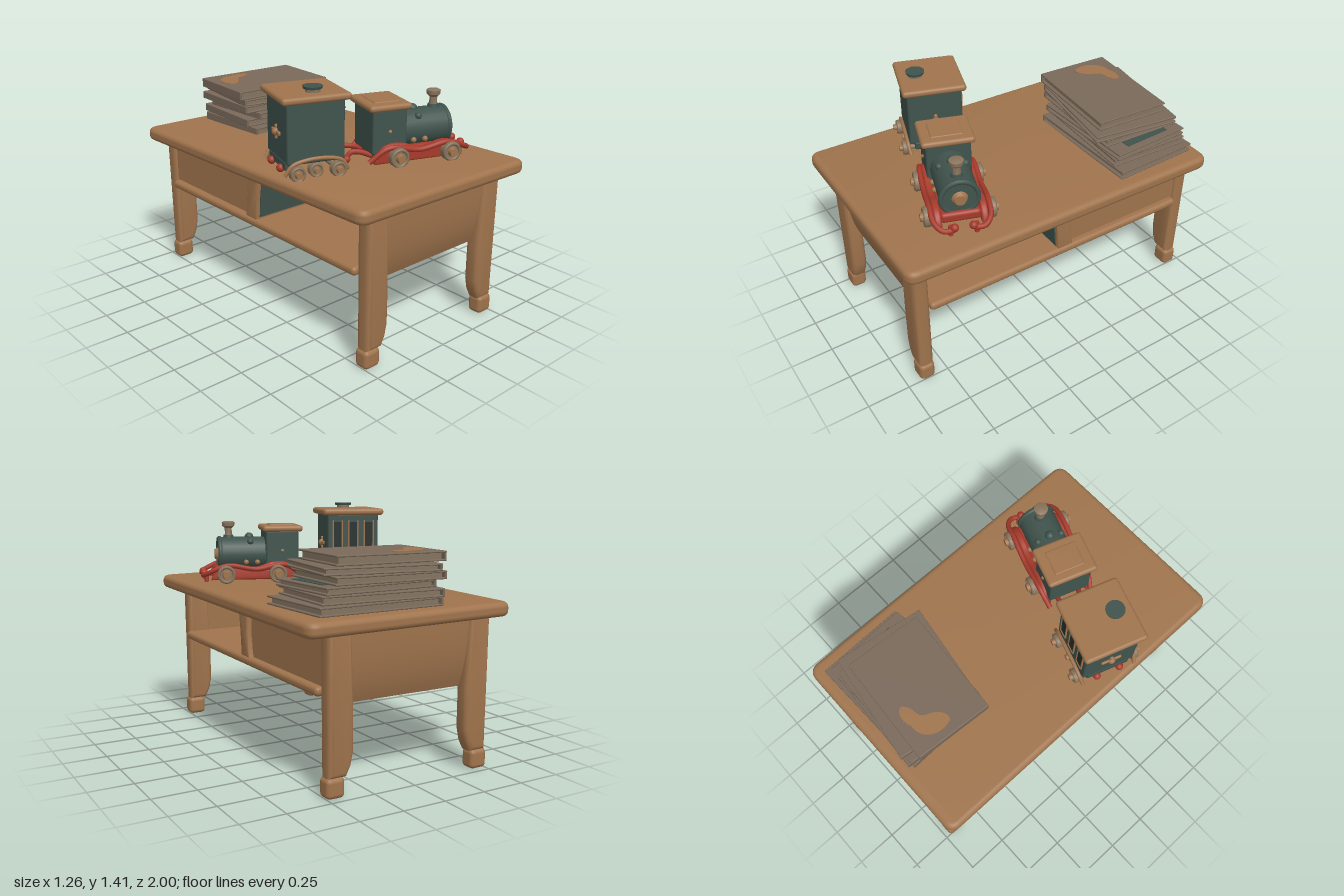
import * as THREE from 'three';
import { toCreasedNormals } from 'three/addons/utils/BufferGeometryUtils.js';
import { RoundedBoxGeometry } from 'three/addons/geometries/RoundedBoxGeometry.js';

const paint = (name, hex) => {
  const m = new THREE.MeshStandardMaterial({ color: hex });
  m.name = name;
  return m;
};
const wood = paint('wood', 0xa0744d);
const teal = paint('darkTeal', 0x40534d);
const red = paint('red', 0xa63a2b);
const wheelTan = paint('wheelTan', 0x88745c);
const cover = paint('bookCover', 0x79695a);
const pages = paint('bookPages', 0x847460);
const dark = paint('darkGlass', 0x27302e);

function add(parent, name, geo, mat, x = 0, y = 0, z = 0) {
  const mesh = new THREE.Mesh(geo, mat);
  mesh.name = name;
  mesh.position.set(x, y, z);
  parent.add(mesh);
  return mesh;
}
function group(parent, name, x = 0, y = 0, z = 0, turn = 0) {
  const g = new THREE.Group();
  g.name = name;
  g.position.set(x, y, z);
  g.rotation.y = turn;
  parent.add(g);
  return g;
}
const soft = (w, h, d, r) => new RoundedBoxGeometry(w, h, d, 3, r);
const cyl = (r1, r2, h) => new THREE.CylinderGeometry(r1, r2, h, 24);
const tube = (pts, r) => new THREE.TubeGeometry(
  new THREE.CatmullRomCurve3(pts.map(p => new THREE.Vector3(...p))), 48, r, 8);
const shapeOf = pts => new THREE.Shape(pts.map(p => new THREE.Vector2(...p)));

// Rounded solid from an outline, centred along its depth
function extrude(shape, depth, bevel) {
  const g = new THREE.ExtrudeGeometry(shape, {
    depth: depth - 2 * bevel, bevelEnabled: bevel > 0, bevelSize: bevel, bevelThickness: bevel,
    bevelOffset: -bevel, bevelSegments: 4, curveSegments: 12,
  });
  g.translate(0, 0, bevel - depth / 2);
  return toCreasedNormals(g, 0.7);
}
// Outline given as (z, y), run along x
const alongX = (pts, width, bevel) => extrude(shapeOf(pts.map(([z, y]) => [-z, y])), width, bevel).rotateY(Math.PI / 2);

function buildTable(root) {
  const table = group(root, 'table');

  // Slightly tilted, worn top
  const s = new THREE.Shape();
  const w = 0.63, l = 1, r = 0.07;
  s.moveTo(-w + r, -l).lineTo(w - r, -l).quadraticCurveTo(w, -l, w, -l + r)
    .lineTo(w, l - r).quadraticCurveTo(w, l, w - r, l)
    .lineTo(-w + r, l).quadraticCurveTo(-w, l, -w, l - r)
    .lineTo(-w, -l + r).quadraticCurveTo(-w, -l, -w + r, -l);
  const topGeo = extrude(s, 0.08, 0.03).rotateX(-Math.PI / 2);
  const p = topGeo.attributes.position;
  for (let i = 0; i < p.count; i++) p.setY(i, p.getY(i) + 0.018 * p.getZ(i) - 0.012 * p.getX(i));
  add(table, 'tableTop', topGeo, wood, 0, 0.885, 0);

  // Legs taper on the inner side and end in block feet
  for (const [z, end] of [[0.875, 'front'], [-0.925, 'back']]) {
    for (const side of [-1, 1]) {
      const pts = [[0.505, 0.86], [0.365, 0.86], [0.35, 0.45], [0.35, 0.23], [0.365, 0.16], [0.392, 0.105], [0.497, 0.105]];
      const leg = pts.map(([x, y]) => [x * side, y]);
      add(table, end + 'Leg', extrude(shapeOf(leg), 0.092, 0.028), wood, 0, 0, z);
      add(table, end + 'Foot', soft(0.107, 0.11, 0.092, 0.026), wood, side * 0.455, 0.055, z);
    }
  }

  // Bowed end panels
  const bow = [];
  for (let i = 0; i <= 10; i++) {
    const t = i / 10;
    bow.push([0.03 - 0.055 * t * t * t, 0.87 - 0.405 * t]);
  }
  const bowed = [...bow, [-0.04, 0.465], [-0.04, 0.87]];
  add(table, 'frontPanel', alongX(bowed, 0.76, 0), wood, 0, 0, 0.875);
  add(table, 'backPanel', alongX(bowed, 0.76, 0), wood, 0, 0, -0.925).rotation.y = Math.PI;

  // Shelf, side panels and divider
  add(table, 'shelf', soft(1.05, 0.05, 1.72, 0.022), wood, 0, 0.54, -0.025).rotation.x = -0.006;
  for (const side of [-1, 1]) add(table, 'sidePanel', new THREE.BoxGeometry(0.03, 0.31, 0.82), wood, side * 0.47, 0.71, -0.49);
  const divider = [[0.035, 0.86], [0.012, 0.7], [0, 0.56], [-0.105, 0.56], [-0.095, 0.6], [-0.08, 0.7], [-0.085, 0.86]];
  add(table, 'divider', alongX(divider, 1.03, 0.012), wood);
  add(table, 'dividerFace', new THREE.BoxGeometry(0.98, 0.27, 0.008), teal, 0, 0.71, 0.017).rotation.x = 0.115;
}

function addWheel(parent, x, y, side, z, r) {
  const wheel = group(parent, 'wheel', x, y, side * z);
  wheel.rotation.x = side * Math.PI / 2;
  add(wheel, 'tyre', cyl(r, r, 0.035), wheelTan);
  add(wheel, 'rim', new THREE.TorusGeometry(r * 0.82, r * 0.17, 8, 24).rotateX(Math.PI / 2), wheelTan, 0, 0.018, 0);
  add(wheel, 'hub', cyl(r * 0.4, r * 0.5, 0.035), wood, 0, 0.025, 0);
}

function buildWagon(root) {
  const g = group(root, 'wagon', -0.39, 0, 0.3, -0.32);
  add(g, 'body', soft(0.325, 0.335, 0.315, 0.012), teal, 0, 1.18, 0);
  add(g, 'roof', soft(0.385, 0.04, 0.365, 0.018), wood, 0, 1.358, 0);
  add(g, 'roofVent', cyl(0.054, 0.05, 0.014), teal, 0.01, 1.402, 0.08);
  add(g, 'ventNeck', cyl(0.04, 0.04, 0.03), wheelTan, 0.01, 1.385, 0.08);

  // Running gear with arched side rails
  add(g, 'axleBeam', soft(0.33, 0.035, 0.14, 0.01), teal, 0, 1.0, 0);
  for (const side of [-1, 1]) {
    for (const x of [-0.115, 0.115]) addWheel(g, x, 0.972, side, 0.175, 0.043);
    addWheel(g, 0, 0.972, side, 0.14, 0.04);
    add(g, 'wheelArch', tube([[-0.18, 0.96, side * 0.16], [-0.14, 1.015, side * 0.168], [-0.06, 1.038, side * 0.17],
      [0.06, 1.038, side * 0.17], [0.14, 1.015, side * 0.168], [0.18, 0.96, side * 0.16]], 0.011), wood);
  }
  for (const x of [-0.115, 0.115]) add(g, 'axle', cyl(0.014, 0.014, 0.33).rotateX(Math.PI / 2), wheelTan, x, 0.972, 0);

  // Ornaments and bumpers on both ends
  for (const end of [-1, 1]) {
    add(g, 'knob', new THREE.SphereGeometry(0.022, 16, 10), wood, end * 0.168, 1.16, 0);
    add(g, 'knobBar', soft(0.016, 0.022, 0.12, 0.007), wood, end * 0.166, 1.16, 0);
    add(g, 'knobPost', soft(0.016, 0.08, 0.02, 0.007), wood, end * 0.166, 1.16, 0);
    for (const z of [-0.07, 0.07]) add(g, 'bumper', new THREE.SphereGeometry(0.023, 16, 10), red, end * 0.17, 0.98, z);
    add(g, 'bumperBeam', soft(0.03, 0.05, 0.26, 0.01), teal, end * 0.15, 1.0, 0);
  }

  // Tall windows on the rear side
  for (const x of [-0.1, 0, 0.1]) {
    add(g, 'window', new THREE.BoxGeometry(0.05, 0.19, 0.006), dark, x, 1.2, -0.159);
    for (const dx of [-0.029, 0.029]) add(g, 'windowPost', soft(0.01, 0.21, 0.012, 0.004), wood, x + dx, 1.2, -0.16);
    add(g, 'windowSill', soft(0.068, 0.01, 0.014, 0.004), wood, x, 1.1, -0.16);
  }
}

function buildEngine(root) {
  const g = group(root, 'engine', 0.15, 0, 0.48, -0.332);
  add(g, 'cab', soft(0.205, 0.25, 0.25, 0.012), teal, -0.125, 1.12, 0);
  add(g, 'cabRoof', soft(0.25, 0.038, 0.295, 0.018), wood, -0.128, 1.257, 0);
  add(g, 'roofCap', soft(0.15, 0.015, 0.18, 0.007), wood, -0.128, 1.274, 0);

  // Boiler with a rounded nose ring and knob
  const along = geo => geo.rotateZ(-Math.PI / 2);
  add(g, 'boiler', along(cyl(0.107, 0.107, 0.3)), teal, 0.115, 1.095, 0);
  add(g, 'boilerRing', new THREE.TorusGeometry(0.1, 0.014, 10, 32).rotateY(Math.PI / 2), teal, 0.258, 1.095, 0);
  add(g, 'noseKnob', along(cyl(0.03, 0.044, 0.022)), wood, 0.276, 1.095, 0);

  // Chimney, dome and small fittings
  const chimney = [[0, 0], [0.036, 0], [0.026, 0.025], [0.022, 0.035], [0.022, 0.085], [0.038, 0.1], [0.04, 0.122], [0.028, 0.128], [0, 0.128]];
  add(g, 'chimney', toCreasedNormals(new THREE.LatheGeometry(chimney.map(q => new THREE.Vector2(...q)), 24), 0.6), wheelTan, 0.2, 1.172, 0);
  add(g, 'chimneyBase', cyl(0.03, 0.036, 0.03), teal, 0.2, 1.2, 0);
  add(g, 'dome', new THREE.SphereGeometry(0.028, 16, 12), teal, 0.07, 1.2, 0);
  for (const side of [-1, 1]) {
    add(g, 'boilerPort', new THREE.SphereGeometry(0.02, 16, 10), teal, 0.07, 1.175, side * 0.072);
    add(g, 'cabStud', new THREE.SphereGeometry(0.011, 12, 8), wood, -0.125, 1.12, side * 0.125);
    for (const x of [0.03, 0.1]) add(g, 'boilerStud', new THREE.SphereGeometry(0.016, 12, 8), wood, x, 1.05, side * 0.105);
  }

  // Red chassis with wavy mudguards
  add(g, 'chassis', soft(0.5, 0.06, 0.22, 0.02), red, 0.04, 0.99, 0);
  for (const side of [-1, 1]) {
    const guard = new THREE.Shape();
    guard.moveTo(-0.22, 0.945).bezierCurveTo(-0.21, 1.08, -0.08, 1.06, -0.03, 1.045)
      .bezierCurveTo(0.05, 1.01, 0.1, 1.015, 0.15, 1.035).bezierCurveTo(0.23, 1.06, 0.3, 1.03, 0.32, 0.945);
    add(g, 'mudguard', extrude(guard, 0.04, 0.012), red, 0, 0, side * 0.125);
    add(g, 'sideRail', tube([[-0.25, 0.96, side * 0.13], [-0.14, 1.035, side * 0.152], [0.04, 1.01, side * 0.158],
      [0.22, 1.035, side * 0.158], [0.32, 1.0, side * 0.15], [0.365, 0.975, side * 0.11], [0.36, 0.97, side * 0.05]], 0.015), red);
    add(g, 'bumper', new THREE.SphereGeometry(0.023, 16, 10), red, 0.36, 0.985, side * 0.05);
    add(g, 'bumperPost', cyl(0.012, 0.014, 0.06), red, 0.345, 0.96, side * 0.07);
    for (const x of [-0.09, 0.23]) addWheel(g, x, 0.982, side, 0.168, 0.056);
    add(g, 'couplingRod', tube([[-0.2, 0.975, side * 0.07], [-0.27, 1.0, side * 0.06 - 0.01],
      [-0.32, 1.0, side * 0.06 - 0.02], [-0.35, 0.965, side * 0.06 - 0.02]], 0.015), red);
    add(g, 'couplingKnob', new THREE.SphereGeometry(0.022, 12, 8), red, -0.345, 0.965, side * 0.06 - 0.02);
  }
}

function buildBooks(root) {
  const stack = group(root, 'bookStack');
  // x, z, width, depth, base height, thickness, turn
  const books = [
    [0.16, -0.66, 0.76, 0.53, 0.912, 0.048, 0.03],
    [0.13, -0.67, 0.72, 0.5, 0.962, 0.046, -0.05],
    [0.15, -0.65, 0.68, 0.5, 1.01, 0.04, 0.04],
    [0.08, -0.66, 0.66, 0.5, 1.052, 0.045, -0.04],
    [0.1, -0.64, 0.66, 0.53, 1.099, 0.04, -0.14],
    [0.04, -0.63, 0.65, 0.455, 1.141, 0.054, -0.065],
  ];
  books.forEach(([x, z, w, d, y, h, turn], i) => {
    const b = group(stack, 'book', x, y, z, turn);
    for (const cy of [0.005, h - 0.005]) add(b, 'cover', soft(w, 0.01, d, 0.004), cover, 0, cy, 0);
    add(b, 'pages', new THREE.BoxGeometry(w - 0.04, h - 0.016, d - 0.04), pages, 0, h / 2, 0);
    add(b, 'spine', soft(0.014, h, d, 0.005), cover, -w / 2 + 0.007, h / 2, 0);
    // Teal and tan cover patches
    if (i === 2 || i === 3) add(b, 'tealPatch', new THREE.BoxGeometry(0.12, 0.004, d * 0.6), teal, w / 2 - 0.1, h + 0.001, 0);
    if (i === 5) {
      const patch = new THREE.Shape();
      patch.moveTo(-0.1, -0.1).bezierCurveTo(-0.15, 0, -0.08, 0.09, 0, 0.08).bezierCurveTo(0.06, 0.12, 0.14, 0.08, 0.11, 0.05)
        .bezierCurveTo(0.06, 0, 0.02, 0.04, 0, -0.02).bezierCurveTo(-0.02, -0.09, -0.07, -0.12, -0.1, -0.1);
      const geo = new THREE.ExtrudeGeometry(patch, { depth: 0.004, bevelEnabled: false }).rotateX(-Math.PI / 2);
      add(b, 'tanPatch', geo, wood, -0.16, h - 0.001, -0.08);
    }
  });
}

export function createModel() {
  const root = new THREE.Group();
  root.name = 'tableWithToyTrain';
  buildTable(root);
  buildWagon(root);
  buildEngine(root);
  buildBooks(root);
  return root;
}
